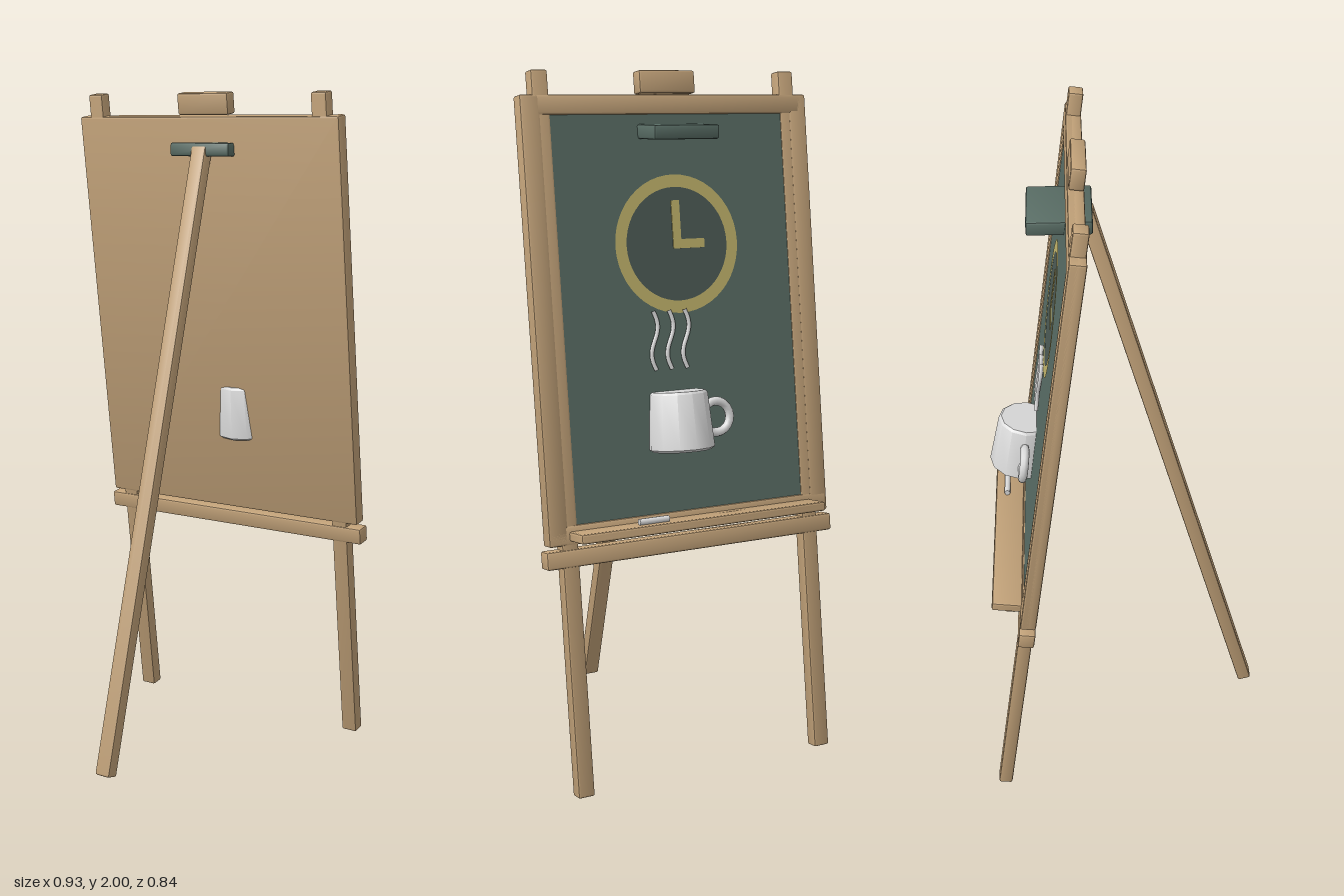
import * as THREE from 'three';
import { toCreasedNormals } from 'three/addons/utils/BufferGeometryUtils.js';
import { RoundedBoxGeometry } from 'three/addons/geometries/RoundedBoxGeometry.js';

const flat = (name, color) => {
  const m = new THREE.MeshStandardMaterial({ color });
  m.name = name;
  return m;
};

export function createModel() {
  const wood = flat('wood', 0xc2a279);
  const slate = flat('slate green', 0x586c64);
  const darkSlate = flat('dark slate', 0x4c5a55);
  const yellow = flat('chalk yellow', 0xc0b26a);
  const white = flat('off white', 0xdadada);

  const model = new THREE.Group();
  model.name = 'chalkboardEasel';

  const add = (parent, name, geometry, material, x = 0, y = 0, z = 0) => {
    const mesh = new THREE.Mesh(geometry, material);
    mesh.name = name;
    mesh.position.set(x, y, z);
    parent.add(mesh);
    return mesh;
  };
  // Box with small chamfered edges
  const bar = (w, h, d, r = 0.006) => toCreasedNormals(new RoundedBoxGeometry(w, h, d, 1, r), 0.5);

  // Everything on the leaning front frame; the writing side faces local -z
  const lean = 0.1375;
  const easel = new THREE.Group();
  easel.name = 'leaningFrame';
  easel.position.z = -0.398;
  easel.rotation.x = lean;
  model.add(easel);

  // Legs and side rails, mirrored
  for (const [side, s] of [['left', 1], ['right', -1]]) {
    add(easel, side + 'Leg', bar(0.05, 2.009, 0.042), wood, s * 0.39, 1.0105, 0);
    add(easel, side + 'Rail', bar(0.058, 1.23, 0.03), wood, s * 0.424, 1.333, -0.008);
  }

  // Board: back slab, top and bottom rails, writing surface
  add(easel, 'backPanel', bar(0.906, 1.23, 0.034), wood, 0, 1.333, 0.006);
  add(easel, 'topRail', bar(0.9, 0.055, 0.03), wood, 0, 1.9205, -0.008);
  add(easel, 'bottomRail', bar(0.9, 0.055, 0.03), wood, 0, 0.7455, -0.008);
  add(easel, 'writingSurface', new THREE.BoxGeometry(0.796, 1.14, 0.008), slate, 0, 1.333, -0.014);

  // Cross bar, top block and chalk tray
  add(easel, 'crossBar', bar(0.926, 0.05, 0.048), wood, 0, 0.681, 0);
  add(easel, 'topBlock', bar(0.176, 0.064, 0.042), wood, 0, 1.984, 0);
  add(easel, 'chalkTray', bar(0.785, 0.027, 0.088), wood, 0, 0.743, -0.064);
  const chalk = add(easel, 'chalkStick', new THREE.CylinderGeometry(0.009, 0.009, 0.092, 10), white, 0.155, 0.765, -0.074);
  chalk.rotation.z = Math.PI / 2;

  // Clock drawing, turned to face the writing side
  const clock = new THREE.Group();
  clock.name = 'clockDrawing';
  clock.position.set(0, 1.53, -0.019);
  clock.rotation.y = Math.PI;
  easel.add(clock);
  add(clock, 'clockFace', new THREE.CircleGeometry(0.165, 48), darkSlate, 0, 0, 0.001);
  add(clock, 'clockRing', new THREE.RingGeometry(0.16, 0.195, 48), yellow, 0, 0, 0.002);
  add(clock, 'minuteHand', new THREE.BoxGeometry(0.026, 0.135, 0.003), yellow, 0, 0.055, 0.002);
  add(clock, 'hourHand', new THREE.BoxGeometry(0.1, 0.026, 0.003), yellow, 0.037, 0, 0.002);

  // Mug passing through the board
  const mug = new THREE.Group();
  mug.name = 'mug';
  mug.position.set(0.04, 1.033, -0.047);
  easel.add(mug);
  const profile = [[0, -0.084], [0.086, -0.084], [0.095, -0.077], [0.083, 0.077], [0.076, 0.084], [0, 0.084]]
    .map(([r, y]) => new THREE.Vector2(r, y));
  add(mug, 'mugBody', toCreasedNormals(new THREE.LatheGeometry(profile, 12), 0.7), white);
  add(mug, 'mugHandle', new THREE.TorusGeometry(0.045, 0.013, 8, 20), white, -0.117, 0, 0);

  // Three wavy wisps of steam
  for (let i = -1; i <= 1; i++) {
    const points = [];
    for (let k = 0; k <= 8; k++) {
      points.push(new THREE.Vector3(0.012 * Math.sin(k * Math.PI / 4), -0.083 + k * 0.0208, 0));
    }
    const wisp = new THREE.TubeGeometry(new THREE.CatmullRomCurve3(points), 20, 0.006, 6);
    add(easel, 'steamWisp', wisp, white, 0.043 + i * 0.05, 1.262, -0.026);
  }

  // Level clamp through the top of the board
  add(model, 'clamp', bar(0.205, 0.04, 0.178), slate, 0, 1.831, -0.177);

  // Rear prop leg
  const prop = add(model, 'rearLeg', bar(0.05, 1.87, 0.042), wood, 0, 0.937, 0.148);
  prop.rotation.x = -0.276;

  return model;
}
